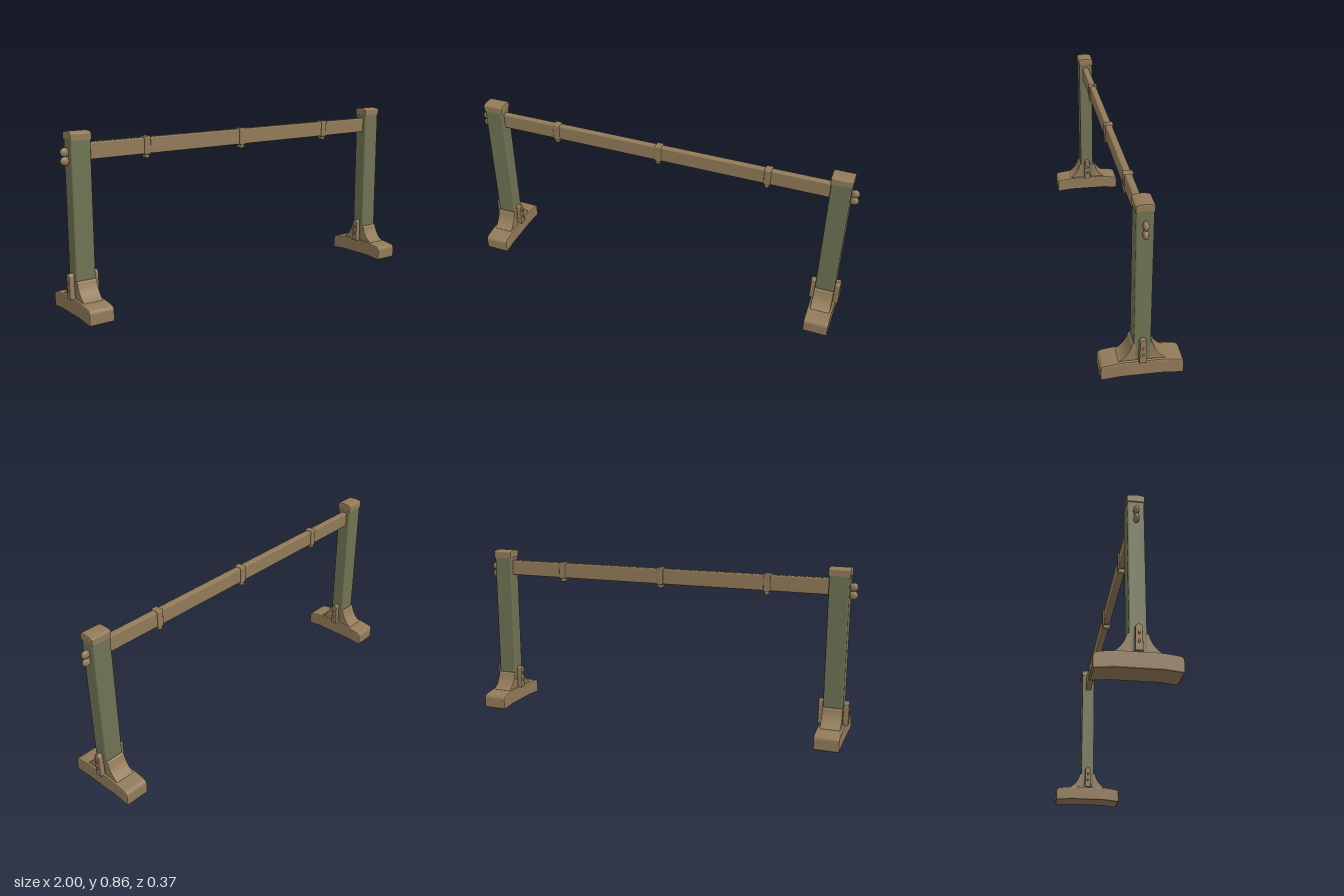
import * as THREE from 'three';
import { RoundedBoxGeometry } from 'three/addons/geometries/RoundedBoxGeometry.js';

export function createModel() {
  const root = new THREE.Group();
  root.name = 'barrierRail';
  const wood = new THREE.MeshStandardMaterial({ color: 0x917a58 });
  wood.name = 'brown wood';
  const green = new THREE.MeshStandardMaterial({ color: 0x6f7353 });
  green.name = 'olive green';

  function add(parent, name, geo, mat, x = 0, y = 0, z = 0) {
    const m = new THREE.Mesh(geo, mat);
    m.name = name;
    m.position.set(x, y, z);
    parent.add(m);
    return m;
  }
  const box = (w, h, d, r) => new RoundedBoxGeometry(w, h, d, 2, r);

  // Side outline drawn in (z, y), extruded across x with bevelled edges
  function slab(shape, width, bevel) {
    const g = new THREE.ExtrudeGeometry(shape, {
      depth: width - 2 * bevel, bevelEnabled: true, bevelThickness: bevel,
      bevelSize: bevel, bevelOffset: -bevel, bevelSegments: 2, curveSegments: 8,
    });
    g.translate(0, 0, -(width - 2 * bevel) / 2);
    g.rotateY(-Math.PI / 2);
    return g;
  }

  // Foot with sloping ends and a shallow arch below
  const footShape = new THREE.Shape();
  footShape.moveTo(-0.18, 0);
  footShape.lineTo(-0.1, 0.008);
  footShape.lineTo(0.1, 0.008);
  footShape.lineTo(0.18, 0);
  footShape.lineTo(0.187, 0.006);
  footShape.lineTo(0.187, 0.055);
  footShape.quadraticCurveTo(0.185, 0.072, 0.168, 0.076);
  footShape.quadraticCurveTo(0.13, 0.083, 0.08, 0.086);
  footShape.lineTo(-0.08, 0.086);
  footShape.quadraticCurveTo(-0.13, 0.083, -0.168, 0.076);
  footShape.quadraticCurveTo(-0.185, 0.072, -0.187, 0.055);
  footShape.lineTo(-0.187, 0.006);
  footShape.closePath();

  // Concave brace in front of and behind the post
  const braceShape = new THREE.Shape();
  braceShape.moveTo(0.03, 0.07);
  braceShape.lineTo(0.112, 0.07);
  braceShape.lineTo(0.105, 0.086);
  braceShape.quadraticCurveTo(0.062, 0.11, 0.047, 0.166);
  braceShape.lineTo(0.04, 0.173);
  braceShape.lineTo(0.03, 0.173);
  braceShape.closePath();

  // Post cap with a slightly domed top
  const capShape = new THREE.Shape();
  capShape.moveTo(-0.041, 0.82);
  capShape.lineTo(0.041, 0.82);
  capShape.lineTo(0.041, 0.848);
  capShape.quadraticCurveTo(0.04, 0.855, 0.03, 0.857);
  capShape.quadraticCurveTo(0, 0.863, -0.03, 0.857);
  capShape.quadraticCurveTo(-0.04, 0.855, -0.041, 0.848);
  capShape.closePath();

  // Tapered cleat with a rounded top
  const cleatShape = new THREE.Shape();
  cleatShape.moveTo(-0.018, 0.083);
  cleatShape.lineTo(0.018, 0.083);
  cleatShape.lineTo(0.015, 0.193);
  cleatShape.quadraticCurveTo(0.01, 0.205, 0, 0.205);
  cleatShape.quadraticCurveTo(-0.01, 0.205, -0.015, 0.193);
  cleatShape.closePath();

  for (const s of [-1, 1]) {
    const stand = new THREE.Group();
    stand.name = s > 0 ? 'leftStand' : 'rightStand';
    stand.position.x = s * 0.912;
    root.add(stand);

    add(stand, 'foot', slab(footShape, 0.125, 0.007), wood);
    add(stand, 'post', box(0.098, 0.75, 0.076, 0.007), green, 0, 0.455, 0);
    add(stand, 'cap', slab(capShape, 0.106, 0.006), wood);
    for (const f of [0, Math.PI]) {
      add(stand, 'brace', slab(braceShape, 0.1, 0.004), wood).rotation.y = f;
    }
    // Cleats and their pegs on both sides of the post
    for (const k of [-1, 1]) {
      add(stand, 'cleat', slab(cleatShape, 0.028, 0.004), wood, k * 0.061);
      for (const y of [0.125, 0.163]) {
        const peg = add(stand, 'cleatPeg', new THREE.SphereGeometry(1, 10, 8), wood, k * 0.075, y, 0);
        peg.scale.set(0.005, 0.009, 0.005);
      }
    }
    // Rail pegs on the outer face
    for (const y of [0.727, 0.767]) {
      const peg = add(stand, 'railPeg', new THREE.SphereGeometry(1, 16, 12), wood, s * 0.063, y, 0);
      peg.scale.set(0.023, 0.021, 0.0135);
    }
  }

  // Crossbar and its three bindings
  add(root, 'crossbar', box(1.78, 0.08, 0.034, 0.007), wood, 0, 0.765, 0);
  for (const x of [-0.56, 0, 0.56]) {
    add(root, 'binding', box(0.034, 0.088, 0.047, 0.006), wood, x, 0.766, 0);
    add(root, 'bindingKnot', box(0.022, 0.03, 0.04, 0.006), wood, x, 0.72, 0);
  }
  return root;
}
